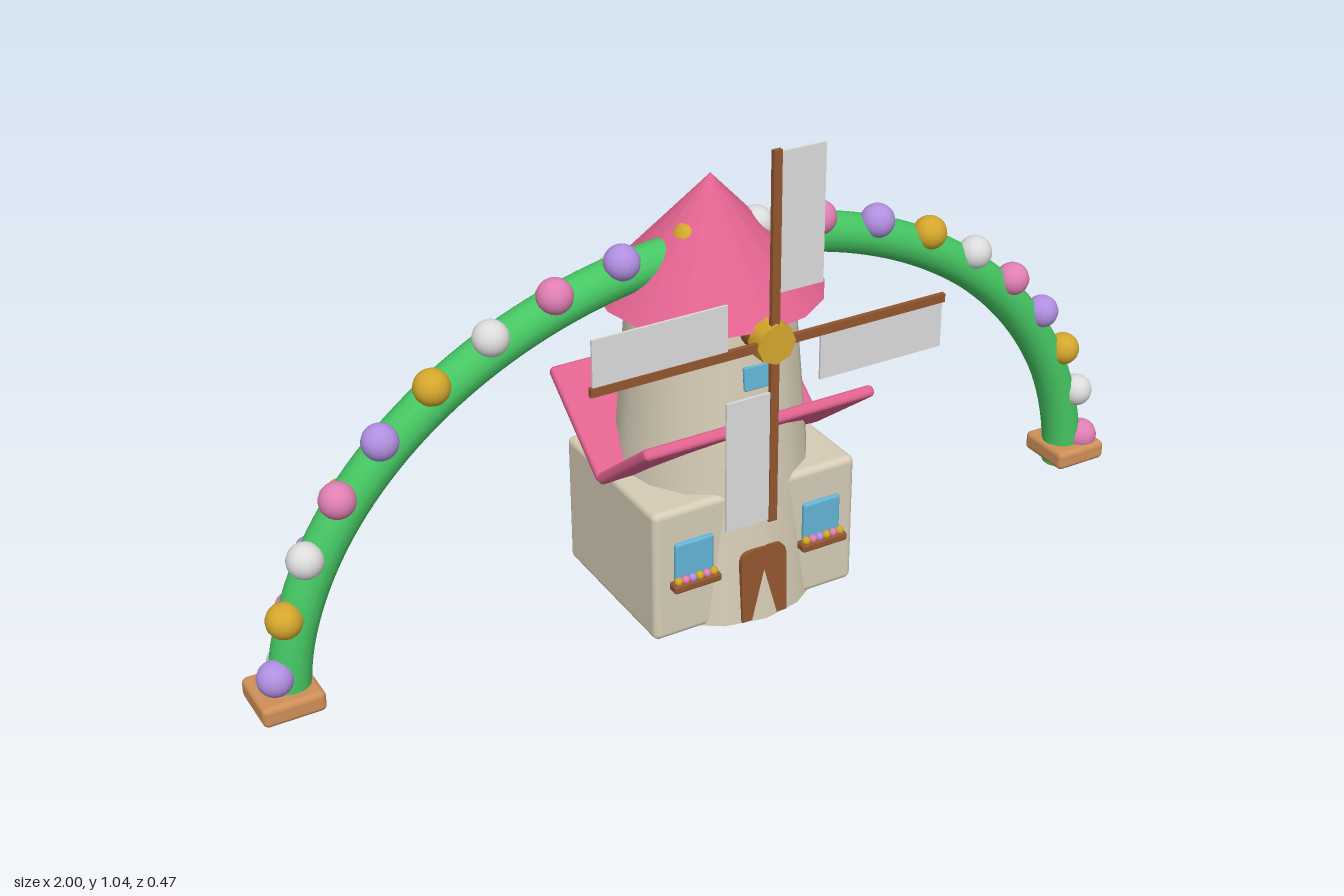
import * as THREE from 'three';
import { RoundedBoxGeometry } from 'three/addons/geometries/RoundedBoxGeometry.js';

const mat = (name, color, side = THREE.FrontSide) => {
  const m = new THREE.MeshStandardMaterial({ color, side });
  m.name = name;
  return m;
};

export function createModel() {
  const M = {
    stone: mat('stone', 0xd6ccb6),
    roof: mat('roof pink', 0xe0628f),
    blossom: mat('blossom pink', 0xe07fb2),
    vine: mat('vine green', 0x46c763),
    wood: mat('wood brown', 0x93562f),
    clay: mat('clay', 0xcf8f58),
    gold: mat('gold', 0xd4a72c),
    white: mat('white', 0xdcdcdc),
    lilac: mat('lilac', 0xb08fe0),
    glass: mat('glass blue', 0x62b4d6),
  };
  const root = new THREE.Group();
  const CZ = -0.005; // shared depth of the tower and arch

  const add = (name, geo, material, x = 0, y = 0, z = 0, parent = root) => {
    const m = new THREE.Mesh(geo, material);
    m.name = name;
    m.position.set(x, y, z);
    parent.add(m);
    return m;
  };
  const rbox = (w, h, d, r) => new RoundedBoxGeometry(w, h, d, 3, r);

  // Tower, its conical roof, and the cottage around its foot
  add('tower', new THREE.CylinderGeometry(0.168, 0.222, 0.652, 16), M.stone, 0, 0.344, CZ);
  add('towerRoof', new THREE.ConeGeometry(0.227, 0.24, 16), M.roof, 0, 0.79, CZ);
  add('cottage', rbox(0.465, 0.292, 0.37, 0.014), M.stone, -0.002, 0.164, CZ);

  // Two slabs rising outwards in a V
  for (const s of [1, -1]) {
    const slab = add('cottageRoof', rbox(0.52, 0.024, 0.26, 0.01), M.roof, 0, 0.384, CZ + s * 0.1);
    slab.rotation.x = -s * 0.663;
  }

  // Doors: one at the front, one on the side of the tower
  const ds = new THREE.Shape();
  ds.moveTo(-0.052, 0);
  ds.lineTo(0.052, 0);
  ds.lineTo(0.052, 0.135);
  ds.quadraticCurveTo(0.05, 0.158, 0.03, 0.16);
  ds.quadraticCurveTo(0, 0.166, -0.03, 0.16);
  ds.quadraticCurveTo(-0.05, 0.158, -0.052, 0.135);
  ds.closePath();
  const doorGeo = new THREE.ExtrudeGeometry(ds, { depth: 0.012, bevelEnabled: false, curveSegments: 5 });
  const door = add('frontDoor', doorGeo, M.wood, 0, 0.02, 0.199);
  door.rotation.x = -0.03;
  const sidePivot = new THREE.Group();
  sidePivot.name = 'sideDoor';
  sidePivot.position.z = CZ;
  sidePivot.rotation.y = THREE.MathUtils.degToRad(110);
  root.add(sidePivot);
  add('sideDoorPanel', doorGeo, M.wood, 0, 0.338, 0.181, sidePivot).rotation.x = -0.08;

  // Tower windows, leaning with the wall
  for (const [y, z, h] of [[0.352, 0.187, 0.07], [0.55, 0.171, 0.05]]) {
    const w = add('towerWindow', rbox(0.058, h, 0.009, 0.003), M.glass, 0, y, z);
    w.rotation.x = -0.083;
  }

  // Cottage windows with flower boxes
  const budGeo = new THREE.SphereGeometry(0.009, 10, 8);
  const budMats = [M.gold, M.blossom, M.lilac, M.gold, M.blossom, M.gold];
  for (const s of [1, -1]) {
    const g = new THREE.Group();
    g.name = 'cottageWindow';
    g.position.set(s * 0.148, 0, 0.18);
    root.add(g);
    add('windowPane', rbox(0.086, 0.09, 0.018, 0.005), M.glass, 0, 0.191, 0, g);
    add('flowerBox', rbox(0.106, 0.018, 0.028, 0.005), M.wood, 0, 0.142, 0.01, g);
    budMats.forEach((m, i) => add('flower', budGeo, m, -0.04 + i * 0.016, 0.155, 0.013, g));
  }

  // Windmill
  const mill = new THREE.Group();
  mill.name = 'windmill';
  mill.position.set(0, 0.65, 0.233);
  root.add(mill);
  add('axle', new THREE.CylinderGeometry(0.031, 0.031, 0.12, 16), M.wood, 0, -0.005, -0.085, mill).rotation.x = Math.PI / 2;
  add('hub', new THREE.CylinderGeometry(0.042, 0.042, 0.038, 8), M.gold, 0, 0, -0.009, mill).rotation.x = Math.PI / 2;
  for (let i = 0; i < 4; i++) {
    const arm = new THREE.Group();
    arm.name = 'millArm';
    arm.rotation.z = i * Math.PI / 2;
    mill.add(arm);
    add('spar', new THREE.BoxGeometry(0.018, 0.39, 0.01), M.wood, 0, 0.195, 0, arm);
    add('sail', new THREE.BoxGeometry(0.098, 0.282, 0.005), M.white, 0.056, 0.244, 0, arm);
  }

  // Flowering arch
  const onArch = (t, a, b, z) => new THREE.Vector3(-Math.cos(t) * a, Math.sin(t) * b, z);
  const pts = [];
  for (let i = 0; i <= 32; i++) pts.push(onArch(0.012 + (Math.PI - 0.024) * i / 32, 0.927, 0.759, CZ));
  add('archVine', new THREE.TubeGeometry(new THREE.CatmullRomCurve3(pts), 96, 0.042, 14), M.vine);

  const bloomMats = [M.lilac, M.gold, M.white, M.blossom];
  const bigBloom = new THREE.SphereGeometry(0.036, 18, 14);
  const smallBloom = new THREE.SphereGeometry(0.026, 16, 12);
  for (let i = 0; i < 20; i++) {
    const t = THREE.MathUtils.degToRad(7 + 8.83 * i);
    const f = onArch(t, 0.965, 0.797, 0.018);
    const b = onArch(t, 0.935, 0.762, -0.039);
    add('frontBloom', bigBloom, bloomMats[i % 4], f.x, f.y, f.z);
    add('backBloom', smallBloom, bloomMats[(i + 2) % 4], b.x, b.y, b.z);
  }

  // Planters at the arch feet, with the stem showing underneath
  for (const s of [1, -1]) {
    add('planter', rbox(0.126, 0.044, 0.13, 0.012), M.clay, s * 0.937, 0.04, CZ);
    add('stemEnd', new THREE.CircleGeometry(0.042, 14), M.vine, s * 0.927, 0.0095, CZ).rotation.x = Math.PI / 2;
  }

  // Small clump of roots under the cottage
  const rootGeo = new THREE.SphereGeometry(0.018, 10, 8);
  for (const [x, z] of [[-0.045, 0.015], [-0.02, -0.015], [0, 0.01], [0.022, -0.018], [0.045, 0.008]]) {
    add('root', rootGeo, M.vine, x, 0.018, z);
  }
  return root;
}
